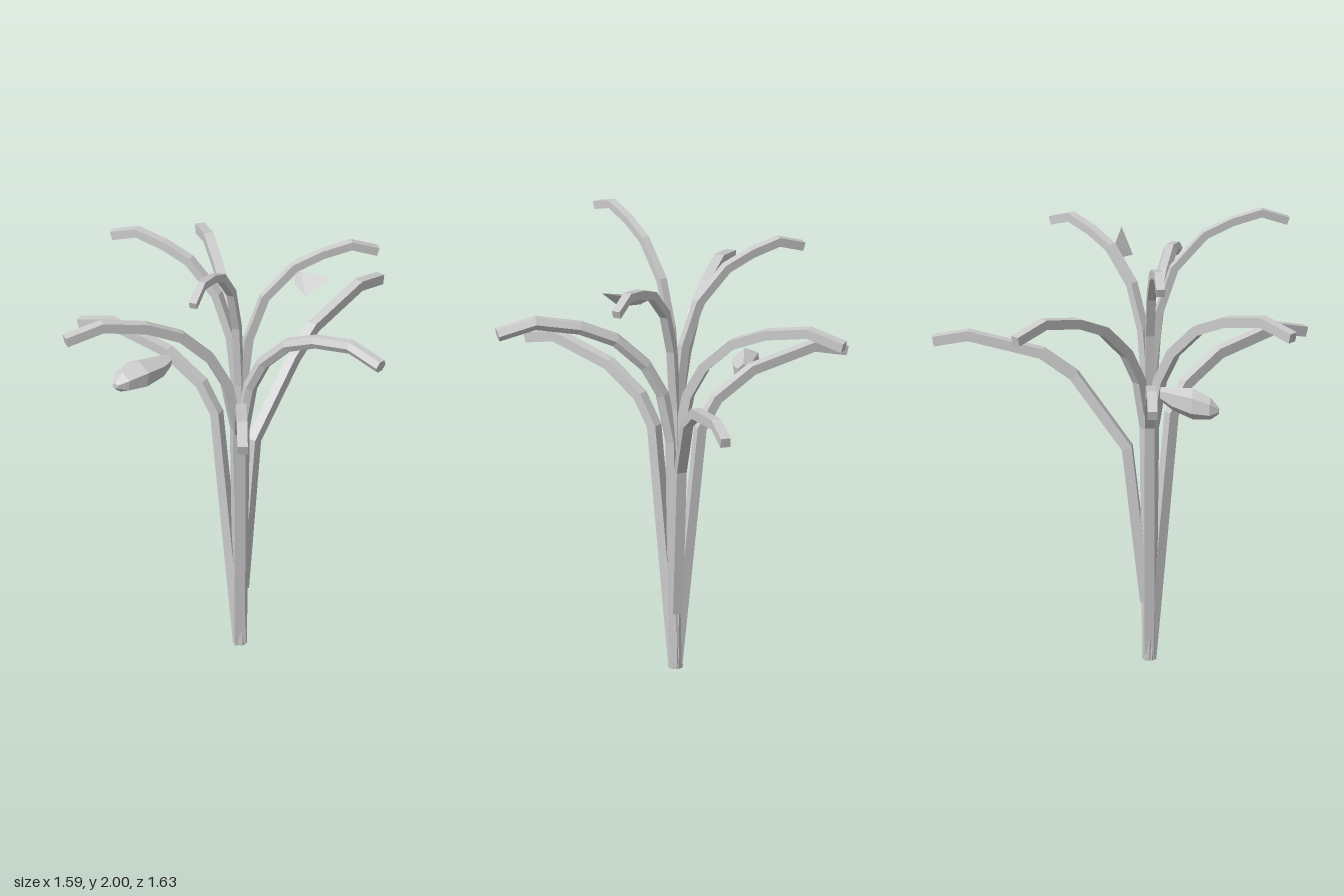
import * as THREE from 'three';
import { ConvexGeometry } from 'three/addons/geometries/ConvexGeometry.js';

const material = new THREE.MeshStandardMaterial({ color: 0xcccccc, flatShading: true, side: THREE.DoubleSide });
const HUB_Z = 0.13;

// Stalk side profiles: [fraction of reach, height]
const LOW = [[0, 0], [0.145, 1.09], [0.24, 1.215], [0.45, 1.325], [0.81, 1.39], [1, 1.35]];
const MID = [[0, 0], [0.02, 1.05], [0.075, 1.27], [0.17, 1.41], [0.34, 1.54], [0.54, 1.61], [0.79, 1.65], [1, 1.61]];
const HIGH = [[0, 0], [0.01, 1.2], [0.065, 1.48], [0.18, 1.67], [0.4, 1.805], [0.6, 1.855], [0.81, 1.885], [1, 1.845]];

// Sweep a mitred polygon section along a path that bends in a vertical plane
function sweep(points, radius, sides, heading) {
  const side = new THREE.Vector3(0, 1, 0).cross(heading).normalize();
  const positions = [], index = [];
  const last = points.length - 1;
  points.forEach((p, i) => {
    const before = p.clone().sub(points[Math.max(i - 1, 0)]).normalize();
    const after = points[Math.min(i + 1, last)].clone().sub(p).normalize();
    const tangent = before.clone().add(after).normalize();
    const miter = 1 / Math.max(0.7, tangent.dot(i < last ? after : before));
    const normal = tangent.clone().cross(side).normalize();
    for (let k = 0; k < sides; k++) {
      const a = ((k + 0.5) / sides) * Math.PI * 2;
      const v = p.clone().addScaledVector(side, Math.sin(a) * radius)
        .addScaledVector(normal, Math.cos(a) * radius * miter);
      positions.push(v.x, v.y, v.z);
    }
  });
  for (let i = 0; i < last; i++) {
    for (let k = 0; k < sides; k++) {
      const a = i * sides + k, b = i * sides + (k + 1) % sides;
      index.push(a, a + sides, b, b, a + sides, b + sides);
    }
  }
  // End caps
  for (let k = 1; k < sides - 1; k++) {
    const e = last * sides;
    index.push(0, k, k + 1, e, e + k + 1, e + k);
  }
  // Face outwards
  for (let i = 0; i < index.length; i += 3) [index[i + 1], index[i + 2]] = [index[i + 2], index[i + 1]];
  const geometry = new THREE.BufferGeometry();
  geometry.setAttribute('position', new THREE.Float32BufferAttribute(positions, 3));
  geometry.setIndex(index);
  const flat = geometry.toNonIndexed();
  flat.computeVertexNormals();
  return flat;
}

export function createModel() {
  const group = new THREE.Group();
  const add = (name, geometry) => {
    const mesh = new THREE.Mesh(geometry, material);
    mesh.name = name;
    group.add(mesh);
  };

  // Arching stalks: tip x, tip z, profile, section radius, sides, height scale
  const stalks = [
    [0.49, 0.75, LOW, 0.032, 4, 1],
    [-0.79, 0.23, LOW, 0.03, 4, 1],
    [0.79, 0.16, MID, 0.031, 6, 1],
    [-0.435, 0.8, MID, 0.031, 4, 1],
    [-0.61, -0.385, MID, 0.03, 4, 1],
    [0.395, -0.33, HIGH, 0.026, 4, 1],
    [-0.6, 0.245, HIGH, 0.027, 4, 1],
    [0.19, 0.71, HIGH, 0.024, 4, 1.053],
  ];
  stalks.forEach(([x, z, profile, radius, sides, scale], i) => {
    const points = profile.map(([t, y]) =>
      new THREE.Vector3(x * t, y * scale, HUB_Z + (z - HUB_Z) * t));
    add(`stalk${i + 1}`, sweep(points, radius, sides, new THREE.Vector3(x, 0, z - HUB_Z)));
  });

  // Rear stalk, branching off above the base
  const rear = [[0, 0.26, 0.115], [0.005, 0.95, 0.035], [0.04, 1.26, -0.2],
    [0.04, 1.355, -0.34], [0.04, 1.425, -0.66], [0.04, 1.395, -0.81]]
    .map((p) => new THREE.Vector3(...p));
  add('rearStalk', sweep(rear, 0.031, 4, new THREE.Vector3(0, 0, -1)));

  // Faceted hanging bud: rings of [x, y, z, radius]
  const budPoints = [];
  for (const [x, y, z, r] of [[-0.33, 1.305, 0.215, 0.03], [-0.345, 1.288, 0.27, 0.05],
    [-0.38, 1.28, 0.36, 0.068], [-0.405, 1.268, 0.44, 0.048], [-0.412, 1.262, 0.477, 0.014]]) {
    for (let k = 0; k < 6; k++) {
      const a = (k / 6) * Math.PI * 2 + 0.4;
      budPoints.push(new THREE.Vector3(x + Math.cos(a) * r, y + Math.sin(a) * r, z));
    }
  }
  add('bud', new ConvexGeometry(budPoints));

  // Small angular leaf near a tall stalk
  const leaf = [[0.17, 1.78, -0.04], [0.2, 1.805, -0.04], [0.375, 1.83, -0.03],
    [0.28, 1.735, 0.03], [0.195, 1.75, -0.005]].map((p) => new THREE.Vector3(...p));
  add('leaf', new ConvexGeometry(leaf));

  return group;
}
